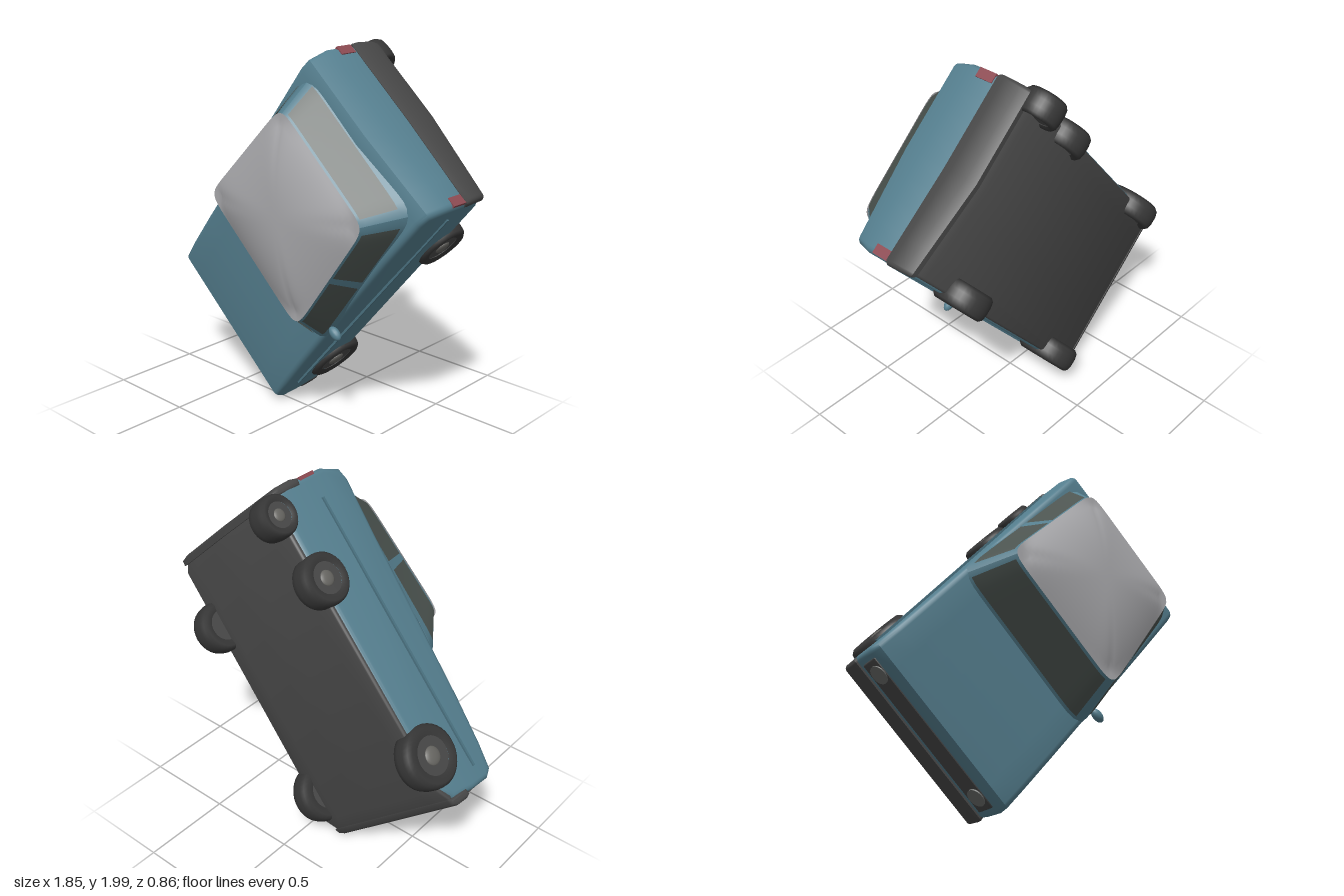
import * as THREE from 'three';
import { toCreasedNormals } from 'three/addons/utils/BufferGeometryUtils.js';

// Working frame: x runs to the car's rear, y across it, z up through the roof.
const TEAL = 0x557f8f, ROOF = 0xa9a9ac, GLASS = 0x4c5450, DARK = 0x474747, TYRE = 0x363636;
const lerp = THREE.MathUtils.lerp;

function part(parent, name, geometry, color, x = 0, y = 0, z = 0) {
  const mesh = new THREE.Mesh(geometry, new THREE.MeshStandardMaterial({ color, side: THREE.DoubleSide }));
  mesh.name = name;
  mesh.position.set(x, y, z);
  parent.add(mesh);
  return mesh;
}

// Moves every vertex by a rule
function reshape(geometry, rule) {
  const p = geometry.attributes.position, v = new THREE.Vector3();
  for (let i = 0; i < p.count; i++) {
    rule(v.fromBufferAttribute(p, i));
    p.setXYZ(i, v.x, v.y, v.z);
  }
  geometry.computeVertexNormals();
  return geometry;
}

// Side profile extruded across the car, with bevelled edges, sides leaning in
// above and below the waist, and the rear left corner pinched thinner
function profileBody(points, width, bevel) {
  const shape = new THREE.Shape(points.map(([x, z]) => new THREE.Vector2(x, z)));
  const g = new THREE.ExtrudeGeometry(shape, {
    depth: width - 2 * bevel, steps: 8, bevelEnabled: true, bevelSize: bevel,
    bevelThickness: bevel, bevelOffset: -bevel, bevelSegments: 4,
  });
  g.translate(0, 0, -(width - 2 * bevel) / 2);
  g.rotateX(Math.PI / 2);
  reshape(g, v => {
    v.z *= 1 - 0.8 * Math.max(0, -v.y) * Math.max(0, v.x - 0.4);
    v.y *= 1 - 0.22 * Math.max(0, v.z - 0.02) - 0.1 * Math.max(0, -0.05 - v.z);
    v.x += 0.034 * v.y;
  });
  return toCreasedNormals(g, 0.7);
}

// Point on the tapering cabin: (a, b) on a square of half-size 1, h from base to roof edge
function cabinPoint(a, b, h, grow = 0) {
  const k = (Math.abs(a) ** 12 + Math.abs(b) ** 12) ** (-1 / 12);
  const front = lerp(-0.24, -0.07, h), rear = lerp(0.79, 0.645, h);
  const half = (rear - front) / 2 + grow, mid = (front + rear) / 2;
  const w = lerp(0.5, 0.41, h) - 0.06 * (a * k + 1) / 2 + grow;
  const y = b * k * w;
  return new THREE.Vector3(mid + a * k * half + 0.05 * y, y, lerp(lerp(0.12, 0.17, (a + 1) / 2), 0.355, h));
}

// Patch of one cabin side (0 front, 1 left, 2 rear, 3 right)
function cabinPatch(side, f0, f1, h0, h1, grow) {
  const g = new THREE.PlaneGeometry(1, 1, 20, 6);
  return reshape(g, v => {
    const f = lerp(f0, f1, v.x + 0.5), h = lerp(h0, h1, v.y + 0.5);
    const [a, b] = [[-1, -f], [f, -1], [1, f], [-f, 1]][side];
    v.copy(cabinPoint(a, b, h, grow));
  });
}

// Domed roof panel following the cabin's top edge
function roofPanel() {
  const g = new THREE.PlaneGeometry(2, 2, 32, 32);
  return reshape(g, v => {
    const r = Math.max(Math.abs(v.x), Math.abs(v.y));
    const round = Math.min(1, (v.x ** 6 + v.y ** 6) ** (1 / 6));
    const edge = r > 0 ? cabinPoint(v.x / r, v.y / r, 1, 0.008) : v.clone();
    v.set(lerp(0.29, edge.x, r), edge.y * r, 0.355 + 0.073 * (1 - round ** 2.4));
  });
}

// Tyre and hub turned about the cross-car axis
function wheel(parent, name, x, y, z, r) {
  const w = new THREE.Group();
  w.name = name;
  w.position.set(x, y, z);
  parent.add(w);
  const tyre = [[0.6, -0.055], [0.85, -0.065], [0.96, -0.05], [1, -0.02], [1, 0.02], [0.96, 0.05], [0.85, 0.065], [0.6, 0.055]]
    .map(([k, t]) => new THREE.Vector2(k * r, t));
  part(w, 'tyre', new THREE.LatheGeometry(tyre, 36), TYRE);
  part(w, 'rim', new THREE.CylinderGeometry(r * 0.62, r * 0.62, 0.102, 28), DARK);
  part(w, 'hubCap', new THREE.SphereGeometry(r * 0.3, 18, 10).scale(1, 0.35, 1), 0x666561, 0, Math.sign(y) * 0.05, 0);
}

export function createModel() {
  const model = new THREE.Group();
  const car = new THREE.Group();
  car.name = 'car';
  car.rotation.z = THREE.MathUtils.degToRad(50);
  car.position.y = 1;
  model.add(car);

  // Body shell, underside and bumpers
  part(car, 'body', profileBody([
    [-0.83, -0.24], [-0.86, -0.1], [-0.868, 0.02], [-0.84, 0.07], [-0.7, 0.095], [-0.45, 0.12], [-0.2, 0.135],
    [0.1, 0.155], [0.45, 0.175], [0.76, 0.2], [0.825, 0.18], [0.865, 0.06], [0.868, -0.2], [0.85, -0.26],
    [0.8, -0.295], [-0.74, -0.295],
  ], 1.0, 0.03), TEAL);
  part(car, 'underside', profileBody([
    [-0.84, -0.25], [-0.8, -0.23], [0.84, -0.23], [0.85, -0.27], [0.79, -0.31], [-0.74, -0.305],
  ], 0.98, 0.015), DARK);
  part(car, 'rearBumper', profileBody([
    [0.83, -0.3], [0.83, -0.11], [0.87, -0.105], [0.88, -0.15], [0.877, -0.25], [0.86, -0.3],
  ], 1.01, 0.022), DARK);
  part(car, 'frontBumper', profileBody([
    [-0.82, -0.27], [-0.82, -0.14], [-0.865, -0.13], [-0.875, -0.16], [-0.87, -0.23], [-0.85, -0.26],
  ], 1.0, 0.02), DARK);
  part(car, 'grille', profileBody([
    [-0.84, -0.1], [-0.84, 0.03], [-0.872, 0.02], [-0.872, -0.09],
  ], 0.9, 0.008), DARK);

  // Cabin walls, glass and roof
  const cabin = new THREE.Group();
  cabin.name = 'cabin';
  car.add(cabin);
  for (let side = 0; side < 4; side++) {
    part(cabin, 'cabinWall', cabinPatch(side, -1, 1, 0, 1, 0), TEAL);
  }
  part(cabin, 'windscreen', cabinPatch(0, -0.9, 0.9, 0.13, 0.94, 0.006), GLASS);
  part(cabin, 'rearWindow', cabinPatch(2, -0.86, 0.86, 0.2, 0.94, 0.006), GLASS);
  for (const [f0, f1] of [[-0.88, -0.06], [0.04, 0.86]]) {
    part(cabin, 'leftWindow', cabinPatch(1, f0, f1, 0.16, 0.92, 0.006), GLASS);
    part(cabin, 'rightWindow', cabinPatch(3, -f1, -f0, 0.16, 0.92, 0.006), GLASS);
  }
  part(cabin, 'roof', roofPanel(), ROOF);

  // Mirrored lamps and side trim
  for (const s of [-1, 1]) {
    part(car, 'tailLight', new THREE.BoxGeometry(0.03, 0.05, 0.1), 0x8c4a52, 0.855 + 0.017 * s, s * 0.465, -0.045);
    part(car, 'headlight', new THREE.CylinderGeometry(0.05, 0.05, 0.02, 24).rotateZ(Math.PI / 2), 0x6a6c6a, -0.868 + 0.013 * s, s * 0.37, -0.03);
    part(car, 'sideTrim', new THREE.BoxGeometry(1.5, 0.012, 0.012), 0x4a7180, 0, s * 0.498, -0.03);
  }
  // Single mirror on the driver's door
  part(car, 'doorMirror', new THREE.SphereGeometry(0.03, 16, 10).scale(0.9, 1.4, 0.8), TEAL, -0.115, -0.52, 0.145);

  // Road wheels, plus the loose wheel tucked under one rear corner
  wheel(car, 'frontLeftWheel', -0.615, -0.45, -0.24, 0.16);
  wheel(car, 'frontRightWheel', -0.575, 0.455, -0.237, 0.164);
  wheel(car, 'rearLeftWheel', 0.44, -0.45, -0.27, 0.14);
  wheel(car, 'rearRightWheel', 0.41, 0.455, -0.262, 0.135);
  wheel(car, 'spareWheel', 0.77, 0.455, -0.325, 0.108);

  return model;
}
